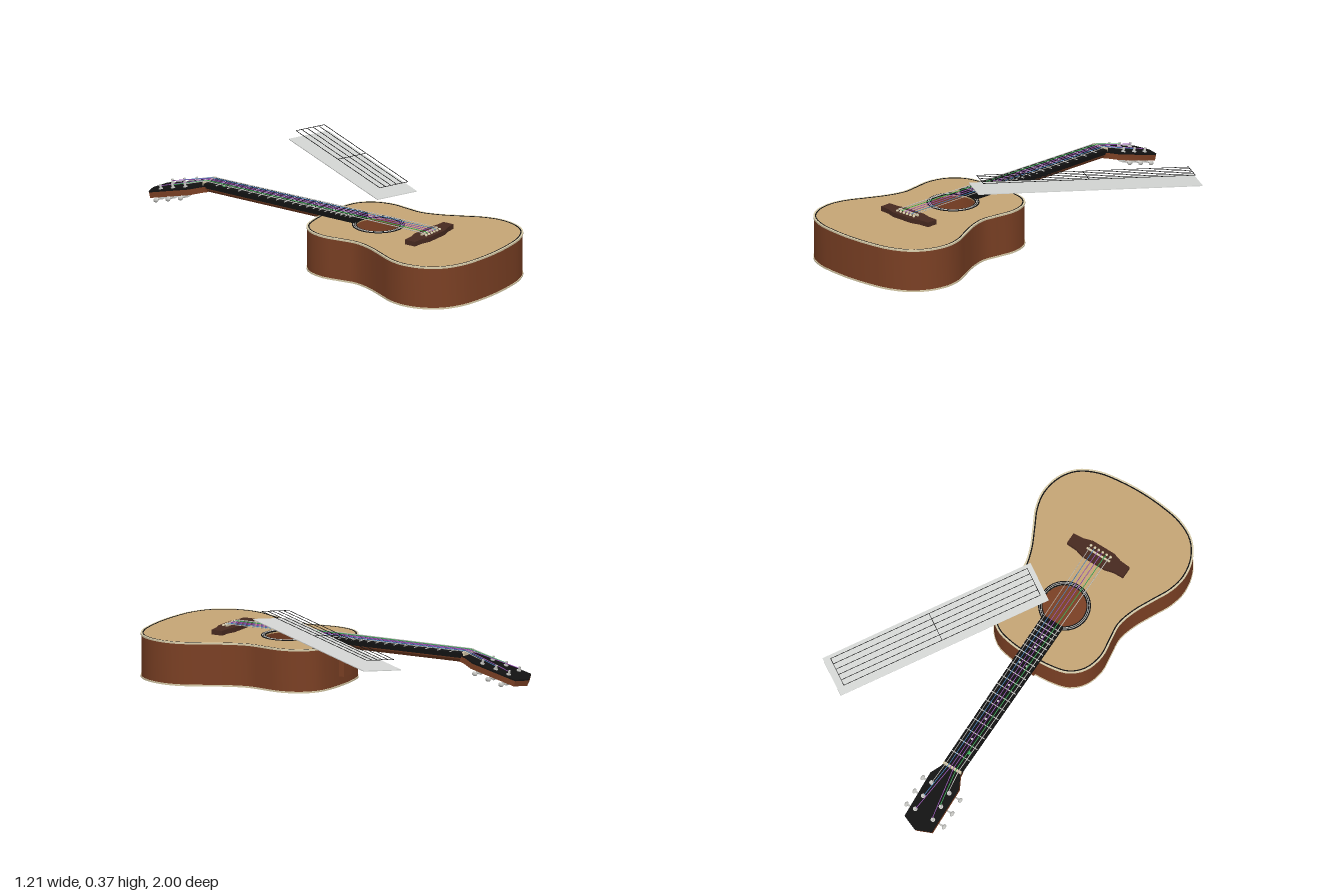
import * as THREE from 'three';
import { toCreasedNormals } from 'three/addons/utils/BufferGeometryUtils.js';

const mat = (name, color) => Object.assign(new THREE.MeshStandardMaterial({ color }), { name });

export function createModel() {
  const wood = mat('mahogany', 0x7b4024), spruce = mat('spruce', 0xc6a676);
  const cream = mat('cream', 0xd8ccaa), black = mat('ebony', 0x121212);
  const rosewood = mat('rosewood', 0x482a20), silver = mat('silver', 0xc4c4c0);
  const panelGrey = mat('panel grey', 0xd6d8d6), green = mat('string green', 0x3fae5a);
  const purple = mat('string purple', 0x9a55b8), blue = mat('string blue', 0x4a86c8);

  const model = new THREE.Group();
  const guitar = new THREE.Group();
  guitar.name = 'guitar';
  guitar.position.x = -0.2;
  model.add(guitar);

  const add = (parent, name, geo, material, x = 0, y = 0, z = 0) => {
    const m = new THREE.Mesh(geo, material);
    m.name = name;
    m.position.set(x, y, z);
    parent.add(m);
    return m;
  };
  const box = (parent, name, material, w, h, d, x, y, z) =>
    add(parent, name, new THREE.BoxGeometry(w, h, d), material, x, y, z);
  // Horizontal slab: shape y becomes z, thickness hangs below the top height
  const slab = (parent, name, material, shape, top, thick) => {
    const geo = new THREE.ExtrudeGeometry(shape, { depth: thick, bevelEnabled: false, curveSegments: 32 });
    geo.rotateX(Math.PI / 2);
    return add(parent, name, toCreasedNormals(geo, 0.6), material, 0, top, 0);
  };
  const rod = (parent, name, material, a, b, r, sides = 6) => {
    const dir = b.clone().sub(a);
    const m = add(parent, name, new THREE.CylinderGeometry(r, r, dir.length(), sides), material);
    m.position.copy(a).add(b).multiplyScalar(0.5);
    m.quaternion.setFromUnitVectors(new THREE.Vector3(0, 1, 0), dir.normalize());
    return m;
  };
  const V = (x, y, z) => new THREE.Vector3(x, y, z);
  const mirrored = (half) => new THREE.Shape(
    [...half, ...half.filter((p) => p[0] > 0).reverse().map(([x, z]) => [-x, z])].map(([x, z]) => new THREE.Vector2(x, z)));
  const circle = (r, z) => new THREE.Path().absarc(0, z, r, 0, Math.PI * 2);
  const ring = (outer, inner, z) => {
    const s = new THREE.Shape().absarc(0, z, outer, 0, Math.PI * 2);
    s.holes.push(circle(inner, z));
    return s;
  };

  // Body outline: one half as a profile, mirrored, smoothed and inset
  const half = [[0, 0.005], [0.11, 0.011], [0.2, 0.035], [0.262, 0.095], [0.29, 0.19], [0.28, 0.29], [0.272, 0.37],
    [0.295, 0.46], [0.342, 0.56], [0.385, 0.65], [0.402, 0.74], [0.382, 0.84], [0.325, 0.92], [0.23, 0.97], [0.12, 0.99], [0, 0.997]];
  const loop = [...half, ...half.slice(1, -1).reverse().map(([x, z]) => [-x, z])];
  const curve = new THREE.CatmullRomCurve3(loop.map(([x, z]) => V(x, z, 0)), true, 'centripetal');
  const outline = (inset) => Array.from({ length: 120 }, (_, i) => {
    const p = curve.getPoint(i / 120), t = curve.getTangent(i / 120);
    return new THREE.Vector2(p.x - t.y * inset, p.y + t.x * inset);
  });
  const band = (a, b) => {
    const s = new THREE.Shape(outline(a));
    s.holes.push(new THREE.Path(outline(b)));
    return s;
  };
  const hole = 0.31;
  slab(guitar, 'bodySides', wood, band(0.003, 0.014), 0.206, 0.2);
  slab(guitar, 'bodyBack', wood, new THREE.Shape(outline(0.004)), 0.012, 0.011);
  const topShape = new THREE.Shape(outline(0.004));
  topShape.holes.push(circle(0.105, hole));
  slab(guitar, 'soundboard', spruce, topShape, 0.21, 0.008);
  slab(guitar, 'topBinding', cream, band(0, 0.008), 0.2115, 0.008);
  slab(guitar, 'backBinding', cream, band(0, 0.008), 0.008, 0.008);
  slab(guitar, 'purfling', black, band(0.008, 0.014), 0.2115, 0.003);

  // Sound hole rosette
  slab(guitar, 'rosette', black, ring(0.125, 0.104, hole), 0.213, 0.005);
  for (const r of [0.111, 0.118])
    slab(guitar, 'rosetteRing', silver, ring(r + 0.0015, r - 0.0015, hole), 0.214, 0.003);

  // Neck, heel and fretboard
  const nutZ = -0.67, saddleZ = 0.605, scale = saddleZ - nutZ;
  const neckShape = new THREE.Shape().absellipse(0, 0, 0.05, 0.033, Math.PI, Math.PI * 2);
  const neckGeo = new THREE.ExtrudeGeometry(neckShape, { depth: 0.7, bevelEnabled: false, curveSegments: 16 });
  add(guitar, 'neck', toCreasedNormals(neckGeo, 0.6), wood, 0, 0.217, -0.68);
  box(guitar, 'heel', wood, 0.075, 0.15, 0.045, 0, 0.125, 0.006);
  slab(guitar, 'fretboard', black, mirrored([[0.05, nutZ], [0.057, 0.21]]), 0.235, 0.023);
  box(guitar, 'nut', cream, 0.1, 0.026, 0.01, 0, 0.228, nutZ);
  const fretZ = (n) => nutZ + scale * (1 - Math.pow(2, -n / 12));
  for (let n = 1; n <= 19; n++)
    box(guitar, 'fret', silver, 0.1 + 0.012 * (fretZ(n) - nutZ) / 0.88, 0.004, 0.004, 0, 0.236, fretZ(n));
  const dot = (name, material, x, z, r) =>
    add(guitar, name, new THREE.CylinderGeometry(r, r, 0.003, 12), material, x, 0.2355, z);
  for (const n of [3, 5, 7, 9, 12, 15, 17])
    for (const x of n === 12 ? [-0.02, 0.02] : [0])
      dot('fretMarker', silver, x, (fretZ(n) + fretZ(n - 1)) / 2, 0.006);
  dot('fingerMarker', green, -0.027, -0.565, 0.009);

  // Bridge, saddle and pins
  slab(guitar, 'bridge', rosewood, mirrored([[0.06, 0.562], [0.105, 0.574], [0.158, 0.576], [0.158, 0.634],
    [0.105, 0.638], [0.06, 0.652]]), 0.233, 0.024);
  box(guitar, 'saddle', cream, 0.13, 0.014, 0.008, 0, 0.234, saddleZ);

  // Headstock tilted back, with a dark face and six tuners
  const head = new THREE.Group();
  head.name = 'headstock';
  head.position.set(0, 0.225, -0.665);
  head.rotation.x = -0.26;
  guitar.add(head);
  const headShape = mirrored([[0.05, 0.005], [0.052, -0.02], [0.08, -0.075], [0.077, -0.315], [0, -0.346]]);
  slab(head, 'headstockCore', wood, headShape, -0.007, 0.027);
  slab(head, 'headstockFace', black, headShape, 0, 0.007);
  const postZ = [-0.775, -0.847, -0.917];
  for (const side of [-1, 1])
    for (const z of postZ) {
      const lz = (z + 0.665) / Math.cos(0.26);
      rod(head, 'tunerPost', silver, V(side * 0.05, -0.03, lz), V(side * 0.05, 0.022, lz), 0.006, 10);
      add(head, 'tunerBushing', new THREE.CylinderGeometry(0.011, 0.011, 0.005, 12), silver, side * 0.05, 0.002, lz);
      box(head, 'tunerHousing', silver, 0.032, 0.014, 0.026, side * 0.056, -0.04, lz);
      rod(head, 'tunerShaft', silver, V(side * 0.06, -0.04, lz), V(side * 0.1, -0.04, lz), 0.004, 8);
      const knob = add(head, 'tunerButton', new THREE.SphereGeometry(0.012, 12, 8), silver, side * 0.106, -0.04, lz);
      knob.scale.set(0.75, 0.9, 1.15);
    }

  // Strings run from pin over saddle and nut to the posts
  const stringMats = [silver, green, purple, purple, blue, silver];
  stringMats.forEach((m, i) => {
    const k = (i - 2.5) / 2.5, side = Math.sign(k);
    const pz = postZ[i < 3 ? i : 5 - i];
    const path = [V(k * 0.055, 0.236, 0.625), V(k * 0.052, 0.243, saddleZ), V(k * 0.036, 0.243, nutZ),
      V(side * 0.046, 0.24 + 0.266 * (pz + 0.665), pz)];
    for (let j = 0; j < 3; j++) rod(guitar, 'string', m, path[j], path[j + 1], 0.0022 - 0.0001 * i);
    add(guitar, 'bridgePin', new THREE.SphereGeometry(0.007, 10, 6), cream, k * 0.055, 0.235, 0.627);
  });

  // Floating chart panel with staff lines hovering above it
  const chart = new THREE.Group();
  chart.name = 'chartPanel';
  const zAxis = V(-0.529, 0.041, 0.848).normalize();
  const yAxis = zAxis.clone().cross(V(0.856, 0.073, 0.513)).normalize();
  const xAxis = yAxis.clone().cross(zAxis);
  chart.quaternion.setFromRotationMatrix(new THREE.Matrix4().makeBasis(xAxis, yAxis, zAxis));
  chart.position.set(0.2325, 0.295, -0.146);
  model.add(chart);
  box(chart, 'panel', panelGrey, 0.203, 0.004, 1.09, 0, 0, 0);
  for (let i = 0; i < 6; i++)
    box(chart, 'staffLine', black, 0.0022, 0.0022, 1.03, (i - 2.5) * 0.029, 0.045, 0);
  for (const z of [-0.515, 0, 0.515])
    box(chart, 'barLine', black, 0.147, 0.0022, 0.0022, 0, 0.045, z);

  return model;
}
